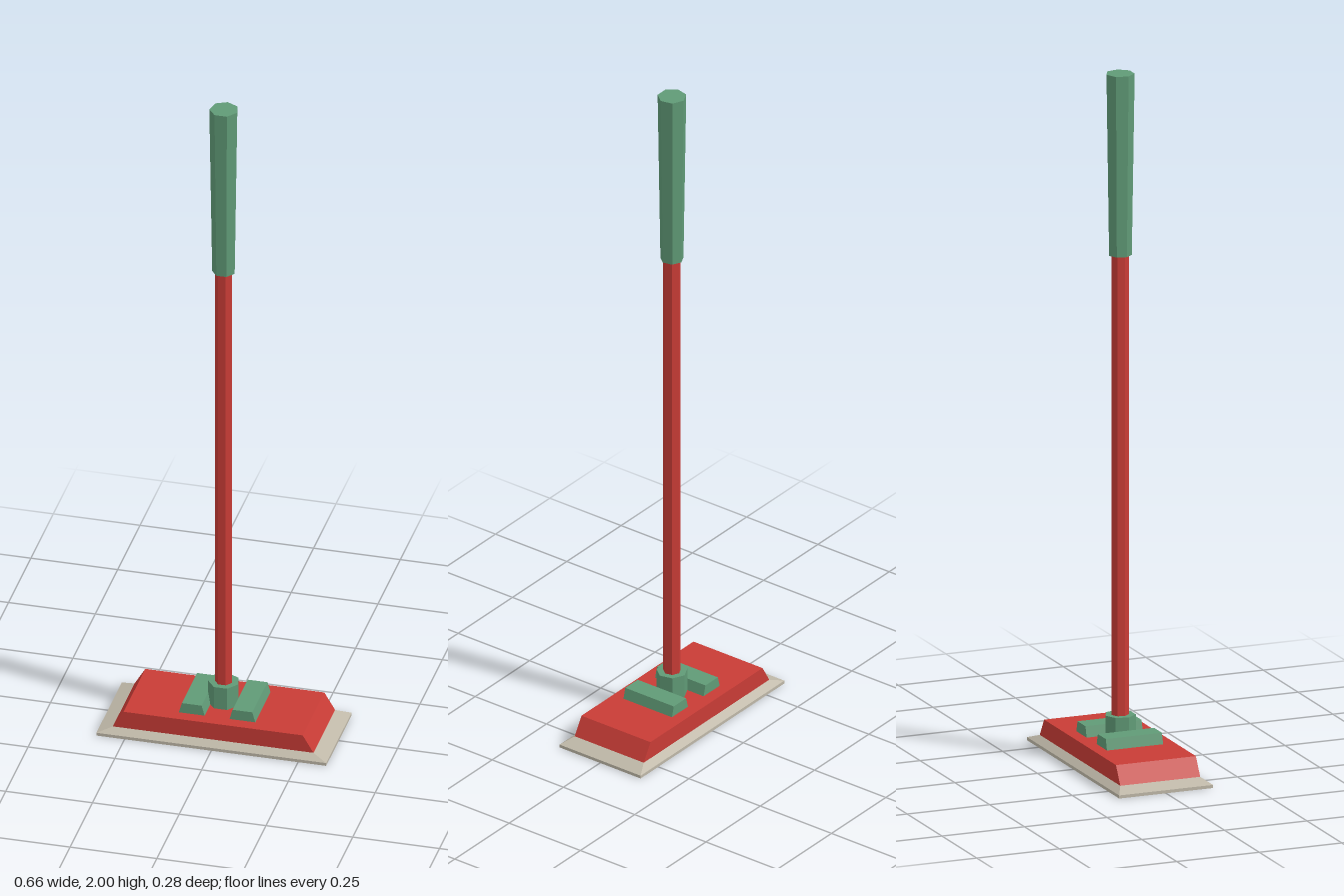
import * as THREE from 'three';

const material = (name, color) => {
  const m = new THREE.MeshStandardMaterial({ color, flatShading: true });
  m.name = name;
  return m;
};

// Box whose top face is a different size from its bottom face
function taperedBox(w, d, y0, y1, topW, topD) {
  const g = new THREE.BoxGeometry(w, y1 - y0, d);
  const p = g.attributes.position;
  for (let i = 0; i < p.count; i++) {
    if (p.getY(i) > 0) p.setXYZ(i, Math.sign(p.getX(i)) * topW / 2, p.getY(i), Math.sign(p.getZ(i)) * topD / 2);
  }
  g.translate(0, (y0 + y1) / 2, 0);
  g.computeVertexNormals();
  return g;
}

// Upright seven-sided rod with one corner facing the back
function rod(rTop, rBottom, y0, y1) {
  const g = new THREE.CylinderGeometry(rTop, rBottom, y1 - y0, 7);
  g.rotateY(Math.PI);
  g.translate(0, (y0 + y1) / 2, 0);
  return g;
}

export function createModel() {
  const red = material('red', 0xc83c36);
  const green = material('green', 0x609a76);
  const cloth = material('cloth', 0xbfb8a8);
  const group = new THREE.Group();
  group.name = 'floorMop';
  const add = (name, geometry, mat, x = 0) => {
    const mesh = new THREE.Mesh(geometry, mat);
    mesh.name = name;
    mesh.position.x = x;
    group.add(mesh);
  };

  // Cloth pad with a thin rim and a sloping border
  add('padRim', taperedBox(0.662, 0.284, 0, 0.009, 0.662, 0.284), cloth);
  add('padBorder', taperedBox(0.662, 0.284, 0.009, 0.024, 0.578, 0.242), cloth);

  // Head, sloped at its two ends
  add('head', taperedBox(0.578, 0.242, 0.024, 0.076, 0.516, 0.242), red);

  // Clamp blocks on either side of the socket
  for (const [name, x] of [['leftClamp', 0.075], ['rightClamp', -0.071]]) {
    add(name, taperedBox(0.074, 0.17, 0.076, 0.107, 0.057, 0.17), green, x);
  }

  // Socket, pole and flared grip
  add('socket', rod(0.044, 0.044, 0.076, 0.145), green);
  add('pole', rod(0.025, 0.025, 0.1, 1.5), red);
  add('grip', rod(0.041, 0.033, 1.475, 2), green);

  return group;
}
